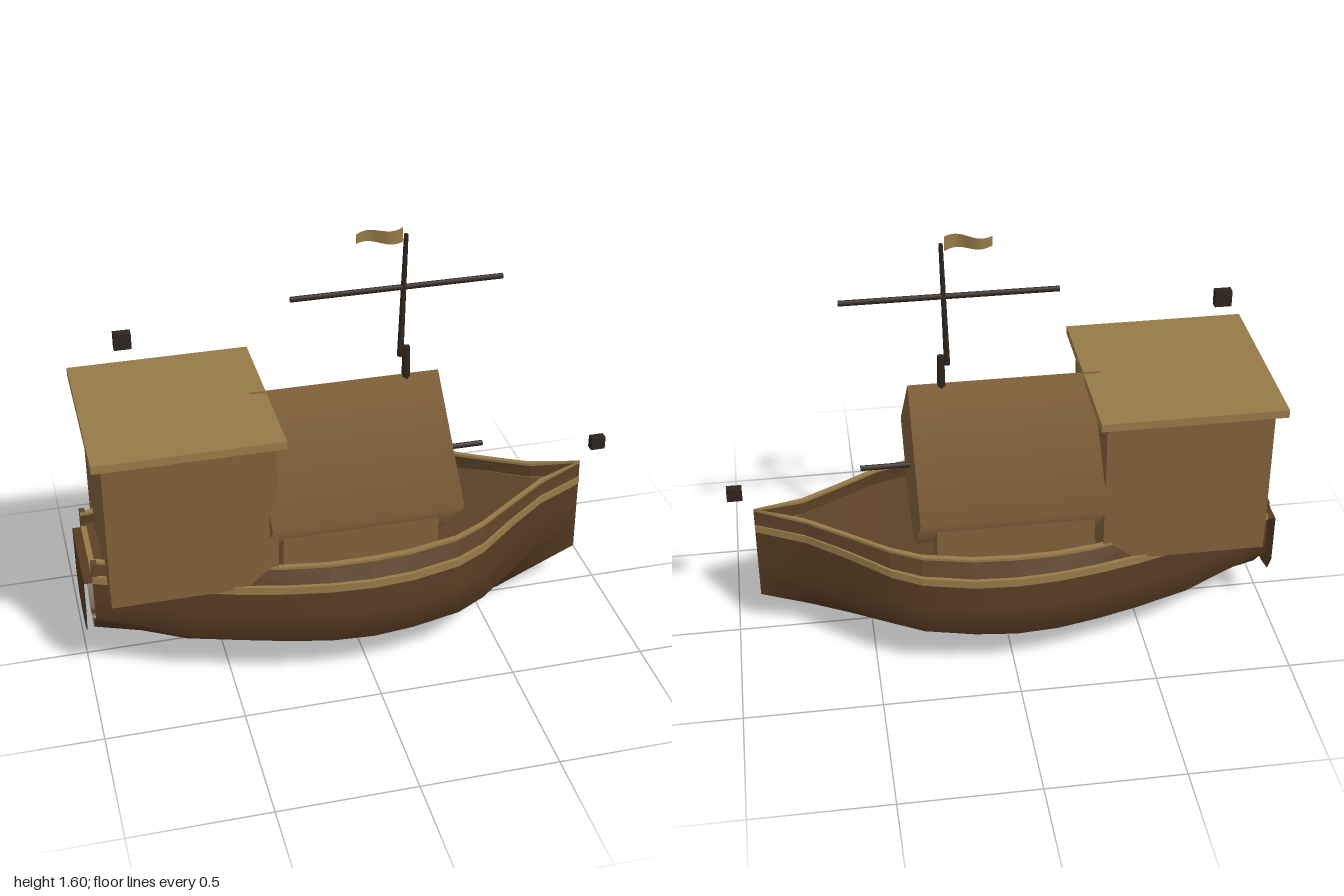
import * as THREE from 'three';

const mat = (color, flatShading = false) =>
  new THREE.MeshStandardMaterial({ color, flatShading, side: THREE.DoubleSide });

// Stations along the boat: x, half width at the sheer, sheer height, keel height, bulwark top
const STATIONS = [
  [-0.97, 0.18, 0.44, 0.16, 0.52],
  [-0.8, 0.22, 0.42, 0.1, 0.51],
  [-0.65, 0.26, 0.4, 0.04, 0.5],
  [-0.45, 0.31, 0.39, 0.02, 0.49],
  [-0.3, 0.345, 0.39, 0.01, 0.485],
  [-0.15, 0.37, 0.39, 0, 0.485],
  [0, 0.38, 0.39, 0, 0.49],
  [0.15, 0.37, 0.39, 0.01, 0.49],
  [0.33, 0.34, 0.4, 0.02, 0.5],
  [0.44, 0.29, 0.41, 0.03, 0.51],
  [0.59, 0.18, 0.43, 0.04, 0.52],
  [0.73, 0.08, 0.44, 0.09, 0.53],
  [0.91, 0, 0.45, 0.16, 0.55],
];

// Skin a list of cross-sections, each a list of [x, y, z]
function loft(sections, closed) {
  const n = sections[0].length;
  const index = [];
  for (let i = 0; i < sections.length - 1; i++) {
    for (let j = 0; j < (closed ? n : n - 1); j++) {
      const k = (j + 1) % n;
      const a = i * n + j, b = i * n + k, c = a + n, d = b + n;
      index.push(a, b, c, b, d, c);
    }
  }
  const g = new THREE.BufferGeometry();
  g.setAttribute('position', new THREE.Float32BufferAttribute(sections.flat(2), 3));
  g.setIndex(index);
  g.computeVertexNormals();
  return g;
}

export function createModel() {
  const boat = new THREE.Group();
  boat.name = 'boat';
  const hullMat = mat(0x553a22), plank = mat(0x5c4228, true), wood = mat(0x80603a);
  const tan = mat(0x967a48, true), dark = mat(0x2e241d);

  const add = (name, geometry, material, x = 0, y = 0, z = 0) => {
    const m = new THREE.Mesh(geometry, material);
    m.name = name;
    m.position.set(x, y, z);
    boat.add(m);
    return m;
  };
  const box = (name, material, x0, x1, y0, y1, halfZ) =>
    add(name, new THREE.BoxGeometry(x1 - x0, y1 - y0, halfZ * 2), material, (x0 + x1) / 2, (y0 + y1) / 2);

  // Hull: two uneven bottom lobes with a channel along the middle
  const hullSection = ([x, w, s, k]) => {
    const side = (u, f) => [x, k + (s - k) * f, w * u];
    const low = (u, f) => [x, k + (0.16 - k) * f, w * u];
    return [
      side(1, 1), side(1.03, 0.75), side(1.05, 0.48), side(0.78, 0.31),
      low(0.34, 0.35), low(0.17, 0), low(0.08, 0.25), low(0, 0.95),
      low(-0.13, 1), low(-0.2, 0.65), low(-0.34, 0.38),
      side(-0.78, 0.31), side(-1.05, 0.48), side(-1.03, 0.75), side(-1, 1),
    ];
  };
  add('hull', loft(STATIONS.map(hullSection), false), hullMat);

  // Deck
  add('deck', loft(STATIONS.map(([x, w, s]) => [[x, s + 0.02, w * 0.97], [x, s + 0.02, -w * 0.97]]), false), plank);

  // Rub rails, inward-leaning bulwarks and their caps on both sides;
  // each rule gives the outer z and y at the bottom and top, and the thickness
  const strip = (name, material, rule) => {
    for (const side of [1, -1]) {
      const sections = STATIONS.map((st) => {
        const [z0, y0, z1, y1, t] = rule(st);
        const at = (y, z) => [st[0], y, side * Math.max(0, z)];
        return [at(y0, z0 - t), at(y0, z0), at(y1, z1), at(y1, z1 - t)];
      });
      add((side > 0 ? 'front' : 'back') + name, loft(sections, true), material);
    }
  };
  strip('RubRail', tan, ([, w, s]) => [w + 0.005, s, w + 0.005, s + 0.03, 0.015]);
  strip('Bulwark', plank, ([, w, s, , t]) => [w * 0.97, s + 0.03, w * 0.92, t - 0.01, 0.02]);
  strip('BulwarkCap', tan, ([, w, , , t]) => [w * 0.92, t - 0.01, w * 0.92, t, 0.02]);

  // Thin stern plate standing off the hull, and the shelf that joins it
  const stern = new THREE.Shape([
    [-0.18, 0.44], [-0.18, 0.25], [-0.14, 0.18], [-0.06, 0.16],
    [0.06, 0.16], [0.13, 0.2], [0.17, 0.3], [0.18, 0.44],
  ].map(([z, y]) => new THREE.Vector2(z, y)));
  add('sternPlate', new THREE.ShapeGeometry(stern), hullMat, -1).rotation.y = -Math.PI / 2;
  add('sternShelf', new THREE.PlaneGeometry(0.04, 0.36), hullMat, -0.98, 0.44).rotation.x = -Math.PI / 2;

  // Stern rail and end posts
  box('sternRail', tan, -0.97, -0.95, 0.44, 0.46, 0.18);
  for (const z of [0.17, -0.17]) {
    add('sternPost', new THREE.BoxGeometry(0.02, 0.07, 0.03), plank, -0.96, 0.485, z);
  }

  // Stern cabin and its flat roof
  box('cabin', wood, -0.92, -0.325, 0.41, 1, 0.305);
  box('cabinRoof', tan, -0.955, -0.295, 0.99, 1.02, 0.345);

  // Middle house: a four-sided barrel on a box base
  box('houseBase', wood, -0.3, 0.27, 0.4, 0.6, 0.265);
  const barrel = add('houseRoof', new THREE.CylinderGeometry(0.36, 0.36, 0.69, 4), wood, -0.01, 0.665);
  barrel.rotation.z = Math.PI / 2;

  // Mast in two pieces, yard and forward pole
  add('mastFoot', new THREE.CylinderGeometry(0.014, 0.016, 0.13, 6), dark, 0.215, 1.07);
  const mast = add('mast', new THREE.CylinderGeometry(0.008, 0.012, 0.47, 6), dark, 0.2, 1.335);
  mast.rotation.z = -0.03;
  const yard = add('yard', new THREE.CylinderGeometry(0.01, 0.01, 0.765, 6), dark, 0.18, 1.37);
  yard.rotation.z = Math.PI / 2;
  const pole = add('forwardPole', new THREE.CylinderGeometry(0.01, 0.01, 0.2, 6), dark, 0.415, 0.69);
  pole.rotation.z = Math.PI / 2;

  // Waving pennant
  const flag = new THREE.PlaneGeometry(0.165, 0.055, 12, 1);
  const p = flag.attributes.position;
  for (let i = 0; i < p.count; i++) {
    const u = 0.5 - p.getX(i) / 0.165;
    p.setY(i, p.getY(i) * (1 - 0.35 * u));
    p.setZ(i, 0.02 * Math.sin(u * Math.PI * 2));
  }
  flag.computeVertexNormals();
  add('pennant', flag, mat(0x967a48), 0.113, 1.57);

  // Small lantern blocks fore and aft
  box('bowLantern', dark, 0.945, 1, 0.6, 0.65, 0.015);
  box('sternLantern', dark, -0.815, -0.755, 1.26, 1.32, 0.015);

  return boat;
}
